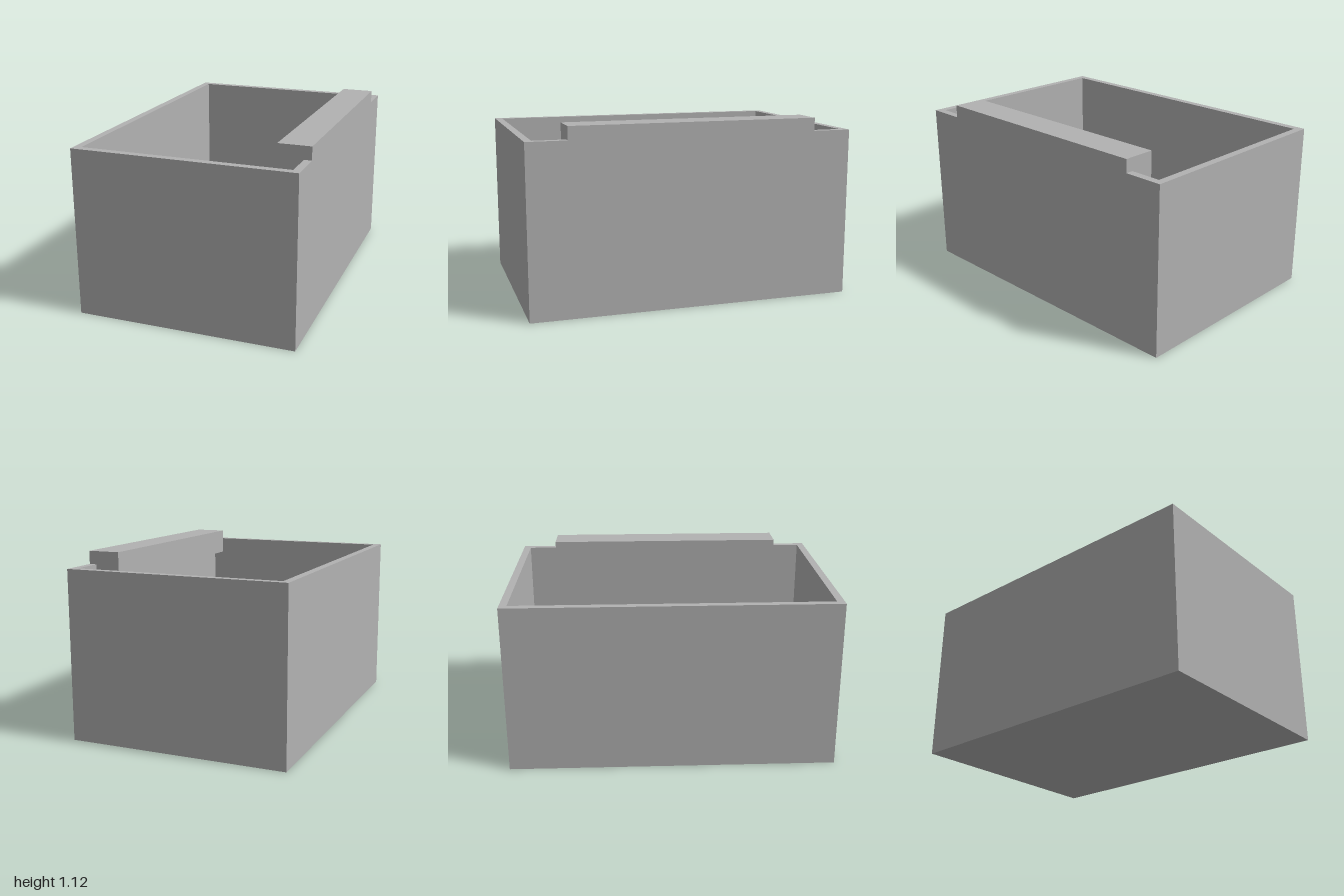
import * as THREE from 'three';

const W = 1.36, D = 2, H = 1.04, WALL = 0.046, FLOOR = 0.05;

export function createModel() {
  const group = new THREE.Group();
  const grey = new THREE.MeshStandardMaterial({ color: 0xb2b2b2 });
  grey.name = 'plain grey';

  const add = (name, geometry, x = 0, y = 0, z = 0) => {
    const mesh = new THREE.Mesh(geometry, grey);
    mesh.name = name;
    mesh.position.set(x, y, z);
    group.add(mesh);
    return mesh;
  };
  const trace = (target, points) => {
    target.setFromPoints(points.map(([x, y]) => new THREE.Vector2(x, y)));
    return target;
  };
  const rectangle = (w, d) => [[-w / 2, -d / 2], [w / 2, -d / 2], [w / 2, d / 2], [-w / 2, d / 2]];

  // Four walls as one extruded frame
  const frame = trace(new THREE.Shape(), rectangle(W, D));
  const innerW = W - 2 * WALL, innerD = D - 2 * WALL;
  frame.holes.push(trace(new THREE.Path(), rectangle(innerW, innerD)));
  const walls = new THREE.ExtrudeGeometry(frame, { depth: H, bevelEnabled: false });
  walls.rotateX(-Math.PI / 2);
  add('walls', walls);

  // Floor inside the frame
  add('floor', new THREE.BoxGeometry(innerW, FLOOR, innerD), 0, FLOOR / 2, 0);

  // Three low ribs dividing the floor into quarters
  for (let i = -1; i <= 1; i++) {
    add('floorRib', new THREE.BoxGeometry(innerW, 0.05, 0.048), 0, FLOOR + 0.025, i * 0.478 - 0.004);
  }

  // Stepped rail hooked over the left wall
  const inner = W / 2 - WALL;
  const profile = trace(new THREE.Shape(), [
    [0.48, 0.96], [inner, 0.96], [inner, H], [W / 2, H], [W / 2, 1.12], [0.48, 1.12],
  ]);
  add('rail', new THREE.ExtrudeGeometry(profile, { depth: 1.52, bevelEnabled: false }), 0, 0, -0.762);

  return group;
}
